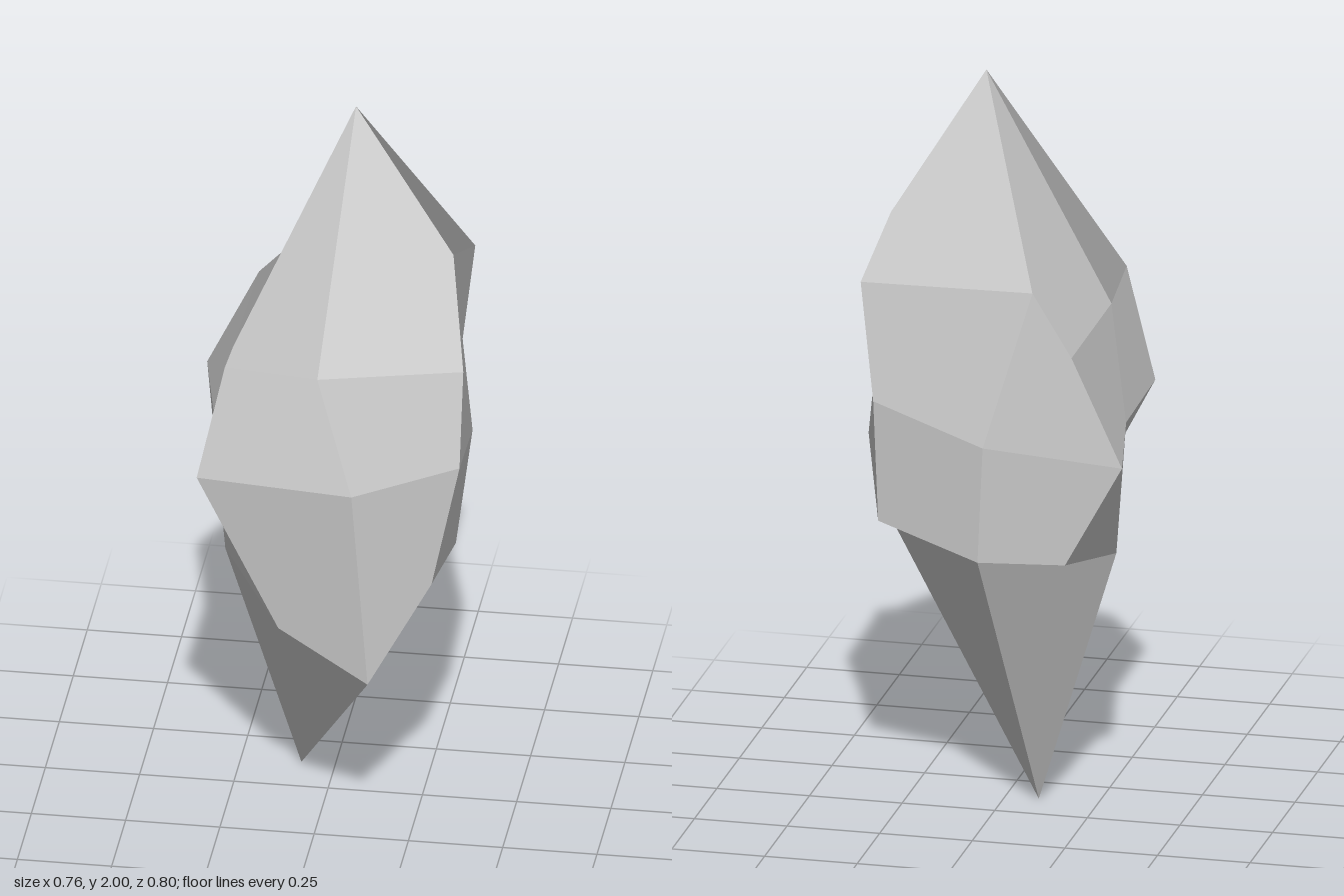
import * as THREE from 'three';

// Irregular eight-sided crystal: two tips joined by three rings of corners.
const TOP = [0.06, 2, -0.095];
const BOTTOM = [-0.09, 0, -0.13];
// Each ring runs from the front corner at -x round through +x and the back.
const RINGS = [
  // shoulder
  [[-0.24, 1.37, 0.23], [0.01, 1.37, 0.26], [0.38, 1.36, 0.145], [0.32, 1.58, -0.085],
    [0.34, 1.47, -0.34], [-0.12, 1.47, -0.325], [-0.24, 1.32, -0.385], [-0.245, 1.33, 0.04]],
  // waist
  [[-0.31, 1.05, 0.26], [0.12, 1.1, 0.395], [0.37, 1.07, 0.145], [0.355, 1.0, -0.19],
    [0.3, 1.15, -0.365], [0.0, 1.05, -0.385], [-0.38, 1.03, -0.4], [-0.31, 1.04, -0.065]],
  // lower ring
  [[-0.09, 0.63, 0.285], [0.16, 0.53, 0.375], [0.31, 0.77, 0.24], [0.33, 0.73, -0.06],
    [0.3, 0.8, -0.31], [0.015, 0.73, -0.38], [-0.22, 0.74, -0.375], [-0.28, 0.67, -0.05]],
];

function crystalGeometry() {
  const positions = [];
  const normals = [];
  const sides = RINGS[0].length;

  // Four-cornered facet folded along a-c, with one normal so it shades evenly
  const facet = (a, b, c, d) => {
    const [va, vb, vc, vd] = [a, b, c, d].map((p) => new THREE.Vector3(...p));
    const normal = vc.sub(va).cross(vd.sub(vb)).normalize();
    for (const corner of [a, b, c, a, c, d]) {
      positions.push(...corner);
      normals.push(normal.x, normal.y, normal.z);
    }
  };

  // side facets between neighbouring rings
  for (let k = 0; k < RINGS.length - 1; k++) {
    for (let i = 0; i < sides; i++) {
      const j = (i + 1) % sides;
      facet(RINGS[k][i], RINGS[k + 1][i], RINGS[k + 1][j], RINGS[k][j]);
    }
  }

  // four facets at each tip, their folds running parallel across the tip
  const [shoulder, , lower] = RINGS;
  for (let i = 0; i < sides; i += 2) {
    const prev = (i + sides - 1) % sides;
    const next = i + 1;
    if (i % 4 === 0) {
      facet(TOP, shoulder[prev], shoulder[i], shoulder[next]);
      facet(lower[next], lower[i], lower[prev], BOTTOM);
    } else {
      facet(shoulder[prev], shoulder[i], shoulder[next], TOP);
      facet(BOTTOM, lower[next], lower[i], lower[prev]);
    }
  }

  const geometry = new THREE.BufferGeometry();
  geometry.setAttribute('position', new THREE.Float32BufferAttribute(positions, 3));
  geometry.setAttribute('normal', new THREE.Float32BufferAttribute(normals, 3));
  return geometry;
}

export function createModel() {
  const group = new THREE.Group();
  group.name = 'crystalModel';
  const material = new THREE.MeshStandardMaterial({ color: 0xcccccc });
  const crystal = new THREE.Mesh(crystalGeometry(), material);
  crystal.name = 'crystal';
  group.add(crystal);
  return group;
}
